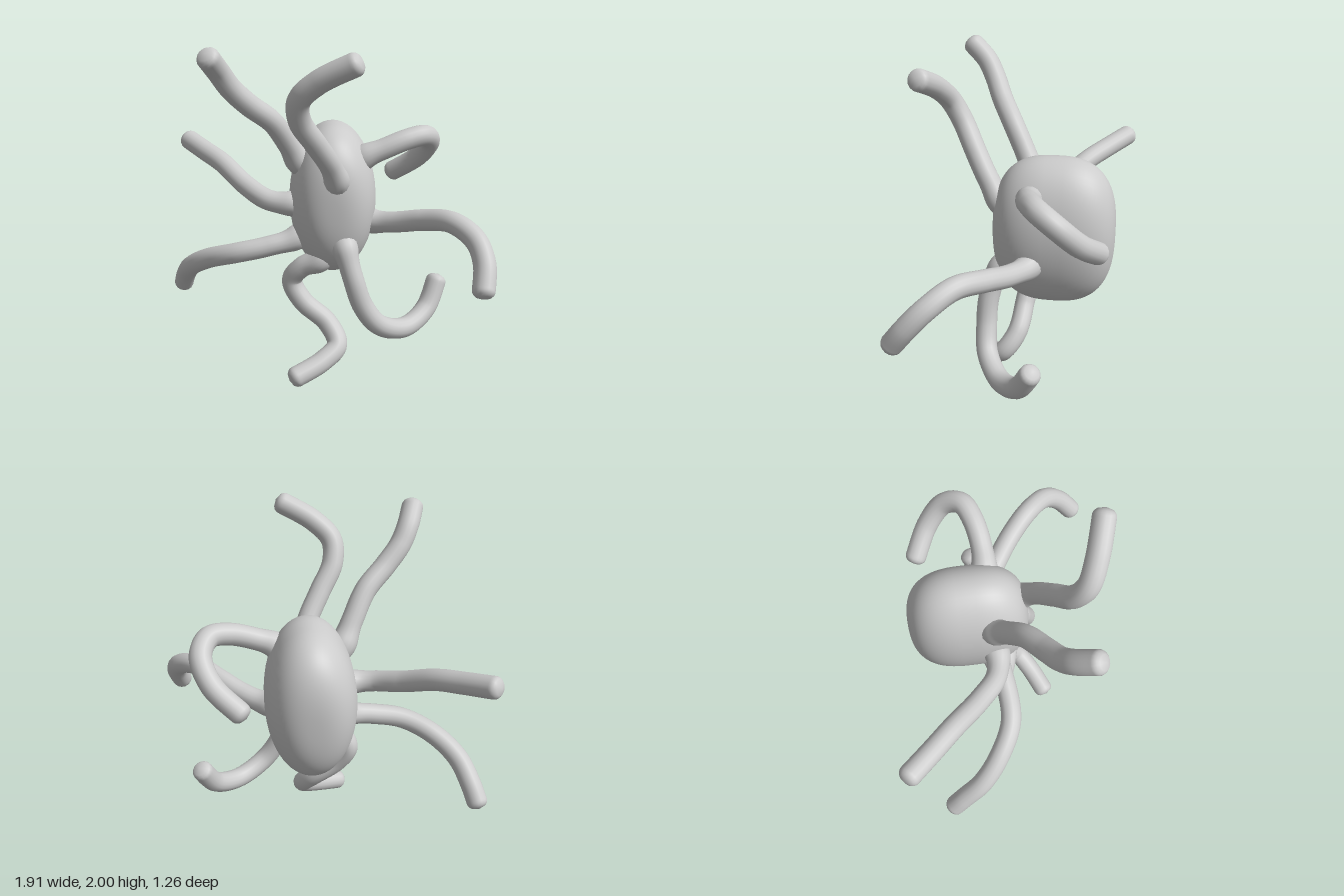
import * as THREE from 'three';
import { mergeVertices } from 'three/addons/utils/BufferGeometryUtils.js';

const material = new THREE.MeshStandardMaterial({ color: 0xcccccc, side: THREE.DoubleSide });
const bodyCentre = new THREE.Vector3(0.08, 1.05, -0.18);
const ARM_RADIUS = 0.062;

// Centre lines of the arms, from root to tip
const arms = {
  upperRightArm: [[-0.12, 1.3, -0.04], [-0.18, 1.42, 0.02], [-0.26, 1.56, 0.1], [-0.38, 1.67, 0.18],
    [-0.47, 1.77, 0.235], [-0.52, 1.86, 0.29], [-0.56, 1.945, 0.38]],
  upperFrontArm: [[0.1, 1.22, 0.12], [0.06, 1.34, 0.2], [-0.02, 1.48, 0.285], [-0.1, 1.62, 0.365],
    [-0.1, 1.74, 0.43], [0, 1.84, 0.48], [0.18, 1.935, 0.535]],
  upperLeftArm: [[0.25, 1.31, -0.06], [0.38, 1.37, -0.06], [0.52, 1.42, -0.09], [0.62, 1.43, -0.14],
    [0.665, 1.37, -0.24], [0.61, 1.25, -0.35], [0.465, 1.13, -0.445]],
  middleLeftArm: [[0.3, 0.93, -0.06], [0.45, 0.95, 0.03], [0.6, 1.0, 0.14], [0.74, 1.03, 0.27],
    [0.85, 0.97, 0.39], [0.885, 0.87, 0.49], [0.87, 0.75, 0.58]],
  lowerLeftArm: [[0.15, 0.82, 0.12], [0.2, 0.65, 0.185], [0.26, 0.48, 0.195], [0.36, 0.35, 0.175],
    [0.52, 0.29, 0.08], [0.66, 0.36, -0.04], [0.73, 0.515, -0.12]],
  lowerFrontArm: [[0.01, 0.72, 0.03], [-0.1, 0.66, 0.02], [-0.165, 0.56, -0.01], [-0.1, 0.43, 0.01],
    [0.05, 0.3, 0.04], [0.11, 0.19, 0.12], [0.02, 0.12, 0.2], [-0.14, 0.06, 0.285]],
  lowerRightArm: [[-0.13, 0.83, -0.04], [-0.3, 0.785, 0], [-0.5, 0.74, 0], [-0.68, 0.67, -0.09],
    [-0.81, 0.57, -0.21], [-0.87, 0.46, -0.33], [-0.9, 0.375, -0.4]],
  middleRightArm: [[-0.15, 1.04, -0.04], [-0.3, 1.055, -0.06], [-0.44, 1.11, -0.17], [-0.6, 1.21, -0.33],
    [-0.72, 1.255, -0.45], [-0.845, 1.3, -0.58]],
};

function smooth(geometry) {
  geometry.deleteAttribute('uv');
  geometry.deleteAttribute('normal');
  const merged = mergeVertices(geometry, 1e-4);
  merged.computeVertexNormals();
  return merged;
}

// Oval body: elliptical from the front, fuller and squarer along its depth
function makeBody() {
  const n = 2.7;
  const profile = [];
  for (let i = 0; i <= 40; i++) {
    const a = -Math.PI / 2 + (Math.PI * i) / 40;
    const c = Math.max(Math.cos(a), 0), s = Math.sin(a);
    profile.push(new THREE.Vector2(Math.pow(c, 2 / n), Math.sign(s) * Math.pow(Math.abs(s), 2 / n)));
  }
  const geometry = new THREE.LatheGeometry(profile, 56);
  geometry.rotateX(Math.PI / 2);
  geometry.scale(0.26, 0.45, 0.35);
  geometry.translate(bodyCentre.x, bodyCentre.y, bodyCentre.z);
  return smooth(geometry);
}

// Round arm that flares slightly into the body and ends in a rounded tip
function makeArm(coords) {
  const points = coords.map((p) => new THREE.Vector3(...p));
  const root = points[0].clone().lerp(bodyCentre, 0.4);
  const rootLength = root.distanceTo(points[0]);
  const last = points[points.length - 1];
  const tip = last.clone().sub(points[points.length - 2]).setLength(0.04).add(last);
  const curve = new THREE.CatmullRomCurve3([root, ...points, tip]);

  const segments = 110, sides = 16;
  const geometry = new THREE.TubeGeometry(curve, segments, ARM_RADIUS, sides);
  const length = curve.getLength();
  const position = geometry.attributes.position;
  const v = new THREE.Vector3();
  for (let i = 0; i <= segments; i++) {
    const centre = curve.getPointAt(i / segments);
    const along = (length * i) / segments;
    const flare = 1 + 0.25 * Math.exp(-(((along - rootLength) / 0.07) ** 2));
    const toTip = Math.min(1, (length - along) / 0.045);
    const scale = flare * Math.sqrt(Math.max(0, 1 - (1 - toTip) ** 2));
    for (let j = 0; j <= sides; j++) {
      const k = i * (sides + 1) + j;
      v.fromBufferAttribute(position, k).sub(centre).multiplyScalar(scale).add(centre);
      position.setXYZ(k, v.x, v.y, v.z);
    }
  }
  return smooth(geometry);
}

export function createModel() {
  const group = new THREE.Group();
  const add = (name, geometry) => {
    const mesh = new THREE.Mesh(geometry, material);
    mesh.name = name;
    group.add(mesh);
  };
  add('body', makeBody());
  for (const [name, coords] of Object.entries(arms)) add(name, makeArm(coords));
  return group;
}
